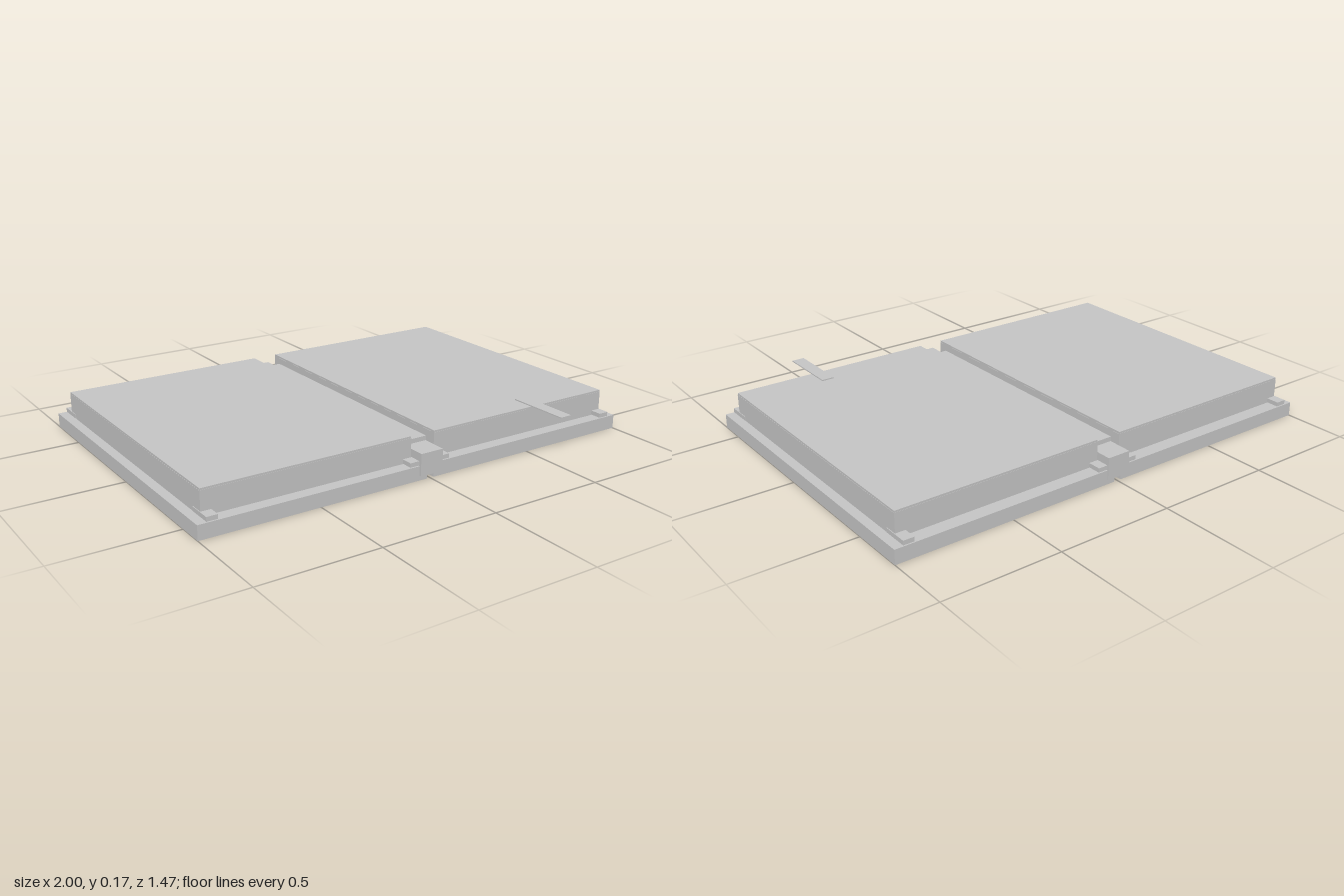
import * as THREE from 'three';

export function createModel() {
  const model = new THREE.Group();
  model.name = 'openBook';
  const grey = new THREE.MeshStandardMaterial({ color: 0xc4c4c4 });
  grey.name = 'lightGrey';

  // Box given by its minimum and maximum on each axis
  function box(name, [x0, x1], [y0, y1], [z0, z1]) {
    const mesh = new THREE.Mesh(new THREE.BoxGeometry(x1 - x0, y1 - y0, z1 - z0), grey);
    mesh.position.set((x0 + x1) / 2, (y0 + y1) / 2, (z0 + z1) / 2);
    mesh.name = name;
    model.add(mesh);
  }
  const mirror = (s, a, b) => (s > 0 ? [a, b] : [-b, -a]);

  for (const s of [1, -1]) {
    const side = s > 0 ? 'left' : 'right';
    // Cover board, page block and the thin sheet on top of it
    box(side + 'Cover', mirror(s, 0.016, 1), [0, 0.06], [-0.731, 0.613]);
    box(side + 'Pages', mirror(s, 0.055, 0.96), [0.06, 0.159], [-0.672, 0.56]);
    box(side + 'TopPage', mirror(s, 0.056, 0.959), [0.159, 0.167], [-0.671, 0.559]);

    // Small tabs at the outer corners and beside the spine
    for (const [end, z] of [['Front', [0.503, 0.61]], ['Back', [-0.728, -0.622]]]) {
      box(side + end + 'CornerTab', mirror(s, 0.918, 0.963), [0.062, 0.08], z);
      box(side + end + 'SpineTab', mirror(s, 0.045, 0.094), [0.062, 0.08], z);
    }
  }

  // Spine with square ends, and the raised fold between the page blocks
  box('spine', [-0.052, 0.052], [0.02, 0.113], [-0.735, 0.622]);
  box('pageFold', [-0.053, 0.053], [0.06, 0.132], [-0.628, 0.513]);

  // Bookmark
  box('bookmark', [0.563, 0.617], [0.167, 0.172], [0.46, 0.735]);

  return model;
}
